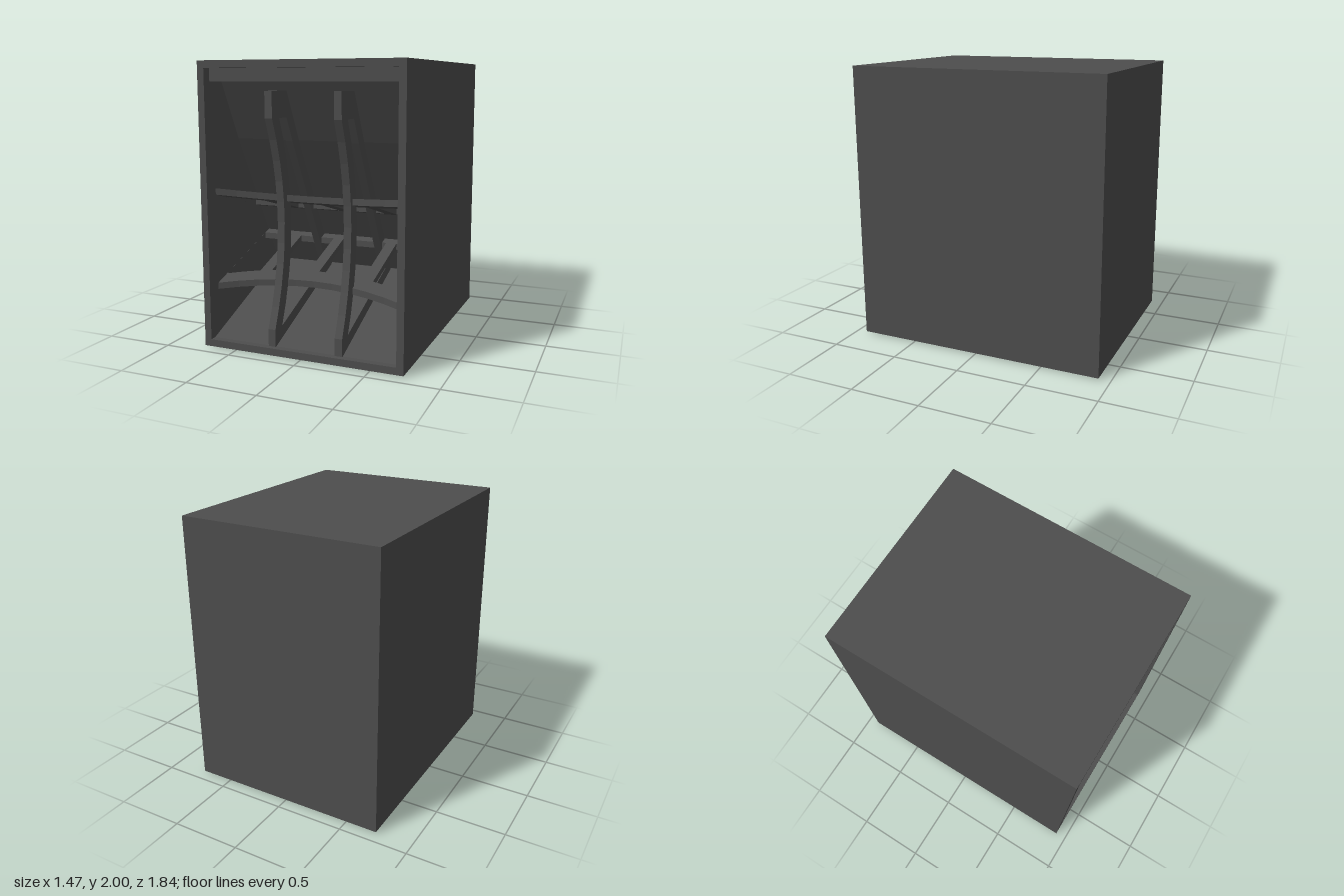
import * as THREE from 'three';

export function createModel() {
  const group = new THREE.Group();
  const paint = new THREE.MeshStandardMaterial({ color: 0x4d4d4d });
  paint.name = 'charcoal paint';

  const add = (name, geometry) => {
    const mesh = new THREE.Mesh(geometry, paint);
    mesh.name = name;
    group.add(mesh);
    return mesh;
  };
  const slab = (name, x0, x1, y0, y1, z0, z1) => {
    const g = new THREE.BoxGeometry(x1 - x0, y1 - y0, z1 - z0);
    g.translate((x0 + x1) / 2, (y0 + y1) / 2, (z0 + z1) / 2);
    return add(name, g);
  };
  const toShape = (pts, holes = []) => {
    const shape = new THREE.Shape(pts.map(p => new THREE.Vector2(...p)));
    for (const h of holes) shape.holes.push(new THREE.Path(h.map(p => new THREE.Vector2(...p))));
    return shape;
  };
  // Side profile in (z, y), extruded across x from x0 to x1
  const acrossX = (pts, holes, x0, x1) => {
    const g = new THREE.ExtrudeGeometry(toShape(pts, holes), { depth: x1 - x0, bevelEnabled: false });
    g.rotateY(-Math.PI / 2);
    g.translate(x1, 0, 0);
    return g;
  };
  const steps = (a, b, n) => Array.from({ length: n + 1 }, (_, i) => a + (b - a) * i / n);

  // Cabinet shell, open at the front
  const W = 0.737, D = 0.918, T = 0.05, X = W - T;
  slab('top', -W, W, 2 - T, 2, -D, D);
  slab('bottom', -W, W, 0.01, 0.06, -D, D);
  slab('back', -X, X, 0.06, 2 - T, -D, -D + T);
  slab('rightSide', -W, -X, 0.06, 2 - T, -D, D);
  slab('leftSide', X, W, 0.06, 2 - T, -D, D);
  slab('topBatten', -X, X, 1.86, 2 - T, 0.69, 0.85);

  // Sloping horn panels
  const panelZ = y => y > 1.45 ? 0.485 + (y - 1.45) * 0.52 : 0.485 - (1.45 - y) * 0.573;
  const floorY = z => 0.06 + 0.38 * (0.87 - z);
  const panel = (name, a, b, dz, dy) => add(name, acrossX(
    [a, b, [b[0] + dz, b[1] + dy], [a[0] + dz, a[1] + dy]], [], -X, X));
  panel('upperHornPanel', [panelZ(1.86), 1.86], [panelZ(1.45), 1.45], -0.05, 0.02);
  panel('lowerHornPanel', [panelZ(1.45), 1.45], [panelZ(0.43), 0.43], -0.05, 0.02);
  panel('hornFloor', [-0.1, floorY(-0.1)], [0.87, 0.06], -0.01, -0.035);

  // Upright ribs: curved front edge, open in the middle
  const ribZ = y => 0.72 + 0.16 * Math.min(1, Math.abs(y - 0.9) / 0.72) ** 2;
  const outline = [
    [0.02, 0], [0.88, 0], ...steps(0.18, 1.62, 10).map(y => [ribZ(y), y]),
    [0.88, 1.8], [panelZ(1.8), 1.8], [panelZ(1.45), 1.45], [panelZ(0.45), 0.45],
  ];
  const opening = [
    ...steps(0.18, 1.62, 10).map(y => [ribZ(y) - 0.1, y]),
    [panelZ(1.62) + 0.1, 1.62], [panelZ(1.45) + 0.1, 1.45], [0.03, 0.46],
  ];
  for (const x of [-0.223, 0.272]) add('rib', acrossX(outline, [opening], x - 0.027, x + 0.027));

  // Cross vanes: curved front bar, spokes and a straight rear rail, tilted as one
  const vaneZ = x => 0.67 + 0.14 * (x / X) ** 2;
  const vane = (name, bottomY, slope, backZ, barDepth, spokes) => {
    const front = steps(-X, X, 10).map(x => [x, -vaneZ(x)]);
    const edges = [-X + 0.001, ...spokes.flat(), X - 0.001];
    const holes = [];
    for (let i = 0; i < edges.length; i += 2) {
      const [a, b] = [edges[i], edges[i + 1]];
      holes.push([...steps(a, b, 4).map(x => [x, barDepth - vaneZ(x)]),
        [b, -backZ - 0.06], [a, -backZ - 0.06]]);
    }
    const g = new THREE.ExtrudeGeometry(toShape([...front, [X, -backZ], [-X, -backZ]], holes),
      { depth: 0.045, bevelEnabled: false });
    g.rotateX(-Math.PI / 2);
    const p = g.attributes.position;
    for (let i = 0; i < p.count; i++) p.setY(i, p.getY(i) + bottomY + slope * (p.getZ(i) - 0.67));
    g.computeVertexNormals();
    add(name, g);
  };
  vane('upperVane', 1.04, 0.28, 0.19, 0.1, [[-0.41, -0.32], [0.01, 0.1], [0.37, 0.455]]);
  vane('lowerVane', 0.445, -0.33, 0.05, 0.12, [[-0.455, -0.37], [-0.095, -0.015], [0.33, 0.41]]);

  return group;
}
